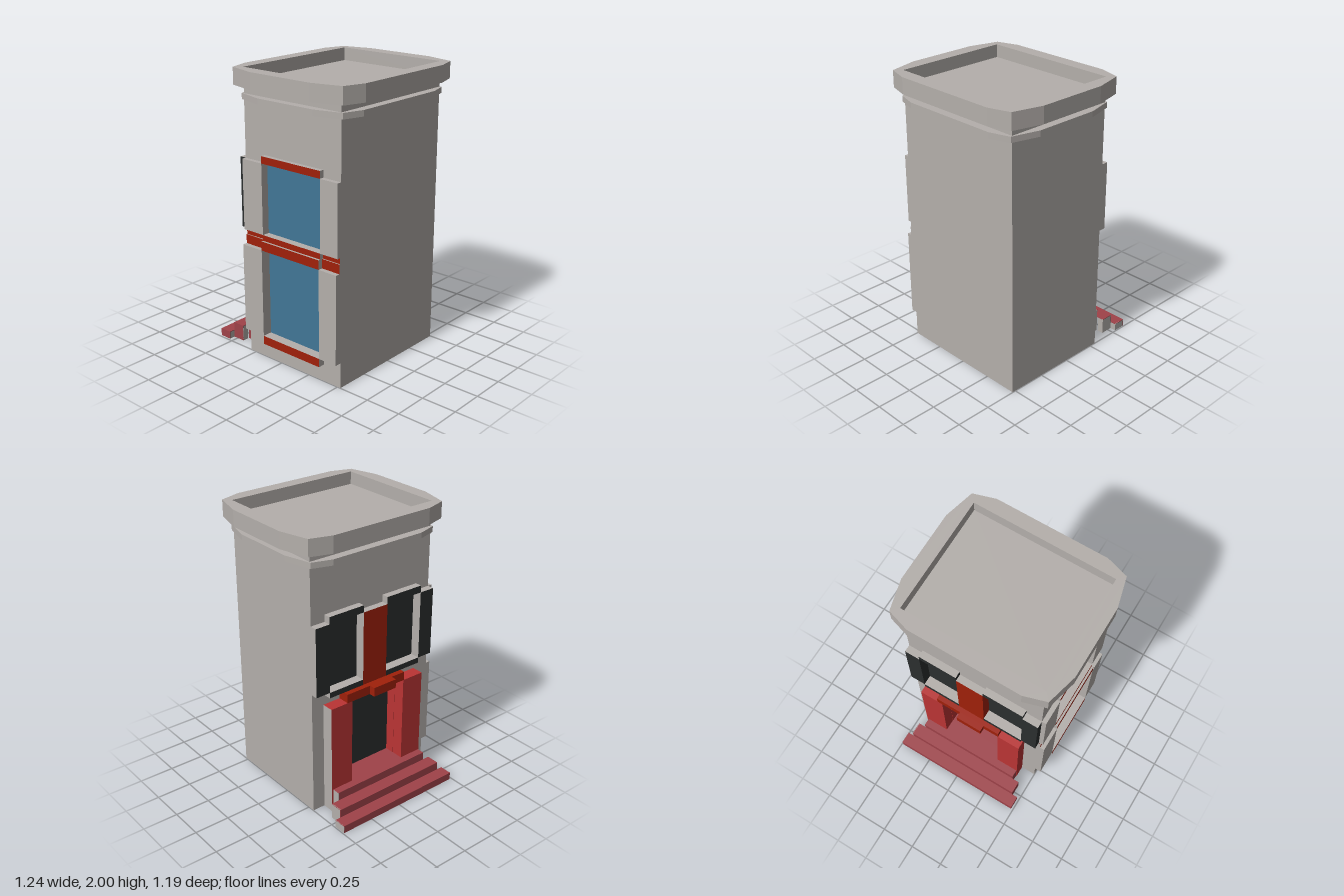
import * as THREE from 'three';

function mat(name, color) {
  // walls and windows are open sheets, so both sides show
  const m = new THREE.MeshStandardMaterial({ color, side: THREE.DoubleSide });
  m.name = name;
  return m;
}

export function createModel() {
  const stone = mat('stone', 0xb4afab);
  const glass = mat('glass', 0x417696);
  const rust = mat('rustTrim', 0xa0200a);
  const red = mat('redFrame', 0xbb3434);
  const maroon = mat('maroonSteps', 0x9f4249);
  const black = mat('blackTrim', 0x2b2e2e);
  const model = new THREE.Group();

  function add(name, geometry, material) {
    const mesh = new THREE.Mesh(geometry, material);
    mesh.name = name;
    model.add(mesh);
    return mesh;
  }
  // Box between limits; paint lists the coloured sides, the rest is stone
  const SIDES = ['px', 'nx', 'py', 'ny', 'pz', 'nz'];
  function box(name, [x0, x1], [y0, y1], [z0, z1], material, paint) {
    const mats = paint ? SIDES.map((s) => (paint.includes(s) ? material : stone)) : material;
    const g = new THREE.BoxGeometry(x1 - x0, y1 - y0, z1 - z0);
    g.translate((x0 + x1) / 2, (y0 + y1) / 2, (z0 + z1) / 2);
    return add(name, g, mats);
  }
  const poly = (pts) => pts.map(([x, y]) => new THREE.Vector2(x, y));
  const rect = (x0, x1, y0, y1) => poly([[x0, y0], [x1, y0], [x1, y1], [x0, y1]]);

  // Flat wall with openings, turned about y and set in place
  function wall(name, outline, holes, turn, x, z) {
    const s = new THREE.Shape(outline);
    for (const h of holes) s.holes.push(new THREE.Path(h));
    const mesh = add(name, new THREE.ShapeGeometry(s), stone);
    mesh.rotation.y = turn;
    mesh.position.set(x, 0, z);
  }

  const X0 = -0.3, X1 = 0.524, Z = 0.498, TOP = 1.885;
  const winX = [-0.125, 0.38];
  const lowY = [0.18, 0.805], highY = [0.91, 1.4];
  const sideWindows = [[-0.39, -0.11], [0.09, 0.385]];
  const doorZ = [-0.23, 0.22];

  // Tower walls, open underneath
  wall('frontWall', rect(X0, X1, 0, TOP), [rect(...winX, ...lowY), rect(...winX, ...highY)], 0, 0, Z);
  wall('backWall', rect(X0, X1, 0, TOP), [], Math.PI, X0 + X1, -Z);
  wall('leftWall', rect(-Z, Z, 0, TOP), [], Math.PI / 2, X1, 0);
  const [d0, d1] = doorZ;
  wall(
    'doorWall',
    poly([[-Z, 0], [d0, 0], [d0, 0.805], [d1, 0.805], [d1, 0], [Z, 0], [Z, TOP], [-Z, TOP]]),
    sideWindows.map((w) => rect(...w, ...highY)),
    -Math.PI / 2, X0, 0
  );

  // Front windows, pilasters and trim
  const IN = 0.475;
  const pilasters = [[X0, winX[0]], [winX[1], X1]];
  for (const [level, ys, z] of [['lower', lowY, 0.545], ['upper', highY, 0.53]]) {
    box(level + 'FrontWindow', winX, ys, [IN - 0.005, IN], glass);
    for (const xs of pilasters) box(level + 'Pilaster', xs, ys, [IN, z], stone);
  }
  box('lowerSill', winX, [0.12, 0.18], [IN, 0.545], rust, ['pz', 'nz']);
  box('lowerLintel', winX, [0.805, 0.87], [IN, 0.545], rust, ['pz']);
  box('upperSill', winX, [0.87, 0.91], [IN, 0.53], rust, ['pz']);
  box('upperLintel', winX, [1.4, 1.45], [IN, 0.53], rust, ['pz']);
  // bands set back between the pilasters
  for (const xs of pilasters) {
    box('lowerBand', xs, [0.805, 0.87], [IN, 0.512], rust, ['pz']);
    box('upperBand', xs, [0.87, 0.91], [IN, 0.505], rust, ['pz']);
  }

  // Side windows above the door
  const OUT = -0.35, DEEP = -0.28;
  for (const zs of sideWindows) {
    box('sideWindow', [DEEP, DEEP + 0.005], highY, zs, black);
    box('sideLintel', [OUT, DEEP], [1.4, 1.45], zs, black, ['nx', 'pz']);
    box('sideSill', [OUT, DEEP], [0.87, 0.91], zs, black, ['nx', 'pz']);
  }
  for (const zs of [[-Z, -0.39], [0.385, Z]]) box('sidePier', [OUT, DEEP], highY, zs, black, ['nx', 'pz']);
  box('centrePier', [OUT, DEEP], [0.87, 1.4], [-0.11, 0.09], rust, ['nx', 'pz']);

  // Door, its frame, reveals and canopy
  const DOOR = -0.23, FRAME = -0.385;
  box('door', [DOOR, DOOR + 0.005], [0.175, 0.805], doorZ, black);
  box('doorFrame', [FRAME, X0], [0, 0.805], [-0.405, d0], red, ['nx', 'py', 'ny', 'pz']);
  box('doorFrame', [FRAME, X0], [0, 0.805], [d1, 0.39], red);
  for (const z of [d0, d1]) box('doorReveal', [X0, DOOR], [0.175, 0.805], [z - 0.002, z + 0.002], red);
  box('canopy', [FRAME, DOOR], [0.805, 0.868], [-0.27, 0.225], rust);
  box('canopyKeystone', [-0.43, FRAME], [0.805, 0.87], [-0.08, 0.11], rust);

  // Hollow steps: riser, tread, two ends and the short returns behind them
  const T = 0.004;
  const steps = [
    [-0.622, -0.533, 0, 0.055, -0.493, 0.484],
    [-0.533, -0.44, 0.055, 0.115, -0.45, 0.44],
    [-0.44, X0, 0.115, 0.175, -0.394, 0.386],
  ];
  for (const [x0, x1, y0, y1, z0, z1] of steps) {
    const end = Math.min(x1, FRAME);
    box('stepRiser', [x0, x0 + T], [y0, y1], [z0, z1], maroon);
    box('stepTread', [x0, x1], [y1 - T, y1], [z0, z1], maroon);
    box('stepEnd', [x0, end], [0, y1], [z0, z0 + T], maroon, ['pz']);
    box('stepEnd', [x0, end], [0, y1], [z1 - T, z1], maroon);
    for (const z of [z0, z1 - 0.044]) box('stepReturn', [end - T, end], [0, y1 - T], [z, z + 0.044], stone);
  }
  box('doorstep', [X0, DOOR], [0.175 - T, 0.175], doorZ, maroon);

  // Collar and cornice: bevelled rings around the tower
  const CX = 0.112;
  const quarter = [[0.508, 0.39], [0.461, 0.543], [0.25, 0.597]];
  const mirrored = quarter.map(([x, z]) => [-x, z]).reverse();
  const half = [...quarter, ...mirrored];
  const ring = [...half, ...half.map(([x, z]) => [-x, -z])];
  for (const [name, y0, y1, k] of [['collar', 1.79, 1.83, 0.927], ['cornice', TOP, 2, 1]]) {
    const s = new THREE.Shape(poly(ring.map(([x, z]) => [CX + x * k, z * k])));
    s.holes.push(new THREE.Path(rect(X0, X1, -Z, Z)));
    const g = new THREE.ExtrudeGeometry(s, { depth: y1 - y0, bevelEnabled: false });
    g.rotateX(-Math.PI / 2);
    g.translate(0, y0, 0);
    add(name, g, stone);
  }

  // Sunken roof
  box('roof', [X0, X1], [1.905, 1.91], [-Z, Z], stone);
  return model;
}
